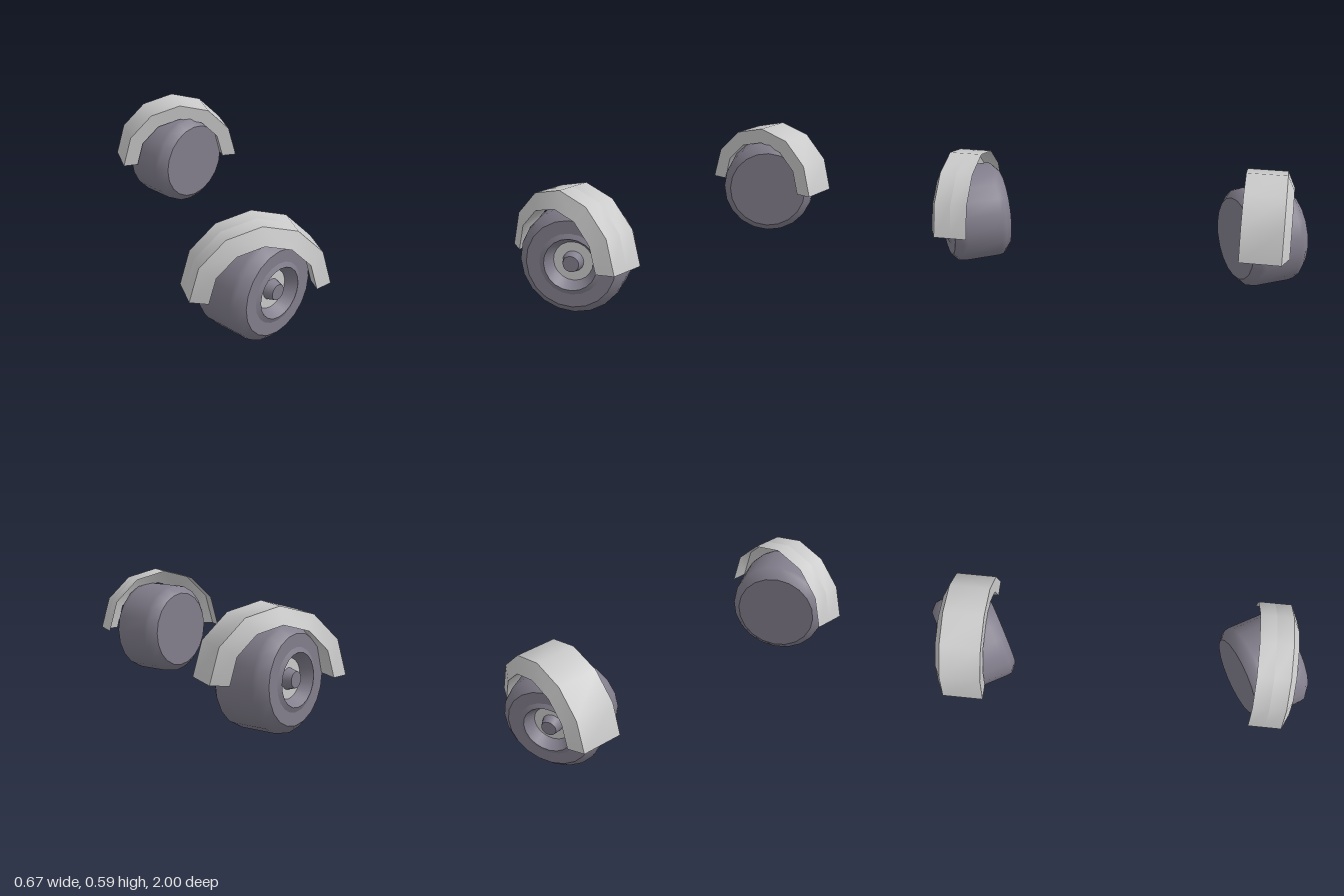
import * as THREE from 'three';
import { toCreasedNormals } from 'three/addons/utils/BufferGeometryUtils.js';

const dark = new THREE.MeshStandardMaterial({ color: 0x827e8c });
dark.name = 'dark rubber';
const light = new THREE.MeshStandardMaterial({ color: 0xcacaca, side: THREE.DoubleSide });
light.name = 'light metal';

const AXLE_Y = 0.252, AXLE_Z = 0.763, CREASE = 0.7;
const vec = ([x, y]) => new THREE.Vector2(x, y);

// Turned part whose axis lies along z; profile points are [radius, z]
function turned(name, profile, material, sides = 20, start = 0, sweep = Math.PI * 2) {
  const geometry = new THREE.LatheGeometry(profile.map(vec), sides, start, sweep);
  geometry.rotateX(Math.PI / 2);
  const mesh = new THREE.Mesh(toCreasedNormals(geometry, CREASE), material);
  mesh.name = name;
  return mesh;
}

// Wheel with a flat inner side and a sunken hub on the outer side
function wheel() {
  const group = new THREE.Group();
  group.name = 'wheel';
  group.add(
    turned('tire', [[0, -0.15], [0.21, -0.15], [0.248, -0.115], [0.2525, -0.09],
      [0.2525, 0.09], [0.248, 0.115], [0.21, 0.15], [0.148, 0.15]], dark),
    turned('rimLip', [[0.148, 0.15], [0.125, 0.16]], dark),
    turned('hubWell', [[0.125, 0.16], [0.094, 0.106]], dark),
    turned('hubDisc', [[0.094, 0.106], [0.05, 0.106]], light),
    turned('axleCap', [[0.05, 0.106], [0.038, 0.149], [0, 0.149]], dark));
  group.position.set(0, AXLE_Y, AXLE_Z);
  group.rotation.y = Math.PI / 6;
  return group;
}

// Half-round six-facet fender; the section is closed and capped at both ends
function fender(section, skirt) {
  const group = new THREE.Group();
  group.name = 'fender';
  const arch = (name, points) => turned(name, points, light, 6, Math.PI / 2, Math.PI);
  group.add(arch('fenderArch', [...section, section[0]]));
  if (skirt) group.add(arch('fenderSkirt', skirt));
  for (const side of [1, -1]) {
    const shape = new THREE.Shape(section.map(([r, z]) => vec([side * r, z])));
    const cap = new THREE.Mesh(new THREE.ShapeGeometry(shape).rotateX(Math.PI / 2), light);
    cap.name = 'fenderEnd';
    group.add(cap);
  }
  group.position.y = AXLE_Y;
  return group;
}

export function createModel() {
  const model = new THREE.Group();
  model.name = 'wheelPair';

  const front = new THREE.Group();
  front.name = 'frontWheelAssembly';
  front.add(wheel(), fender(
    [[0.333, 0.79], [0.333, 0.875], [0.253, 0.912], [0.253, 0.83]],
    [[0.333, 0.705], [0.333, 0.79]]));

  // Rear assembly is turned to face backwards
  const rear = new THREE.Group();
  rear.name = 'rearWheelAssembly';
  rear.add(wheel(), fender(
    [[0.333, 0.667], [0.333, 0.875], [0.253, 0.912], [0.253, 0.667]]));
  rear.rotation.y = Math.PI;

  model.add(front, rear);
  return model;
}
